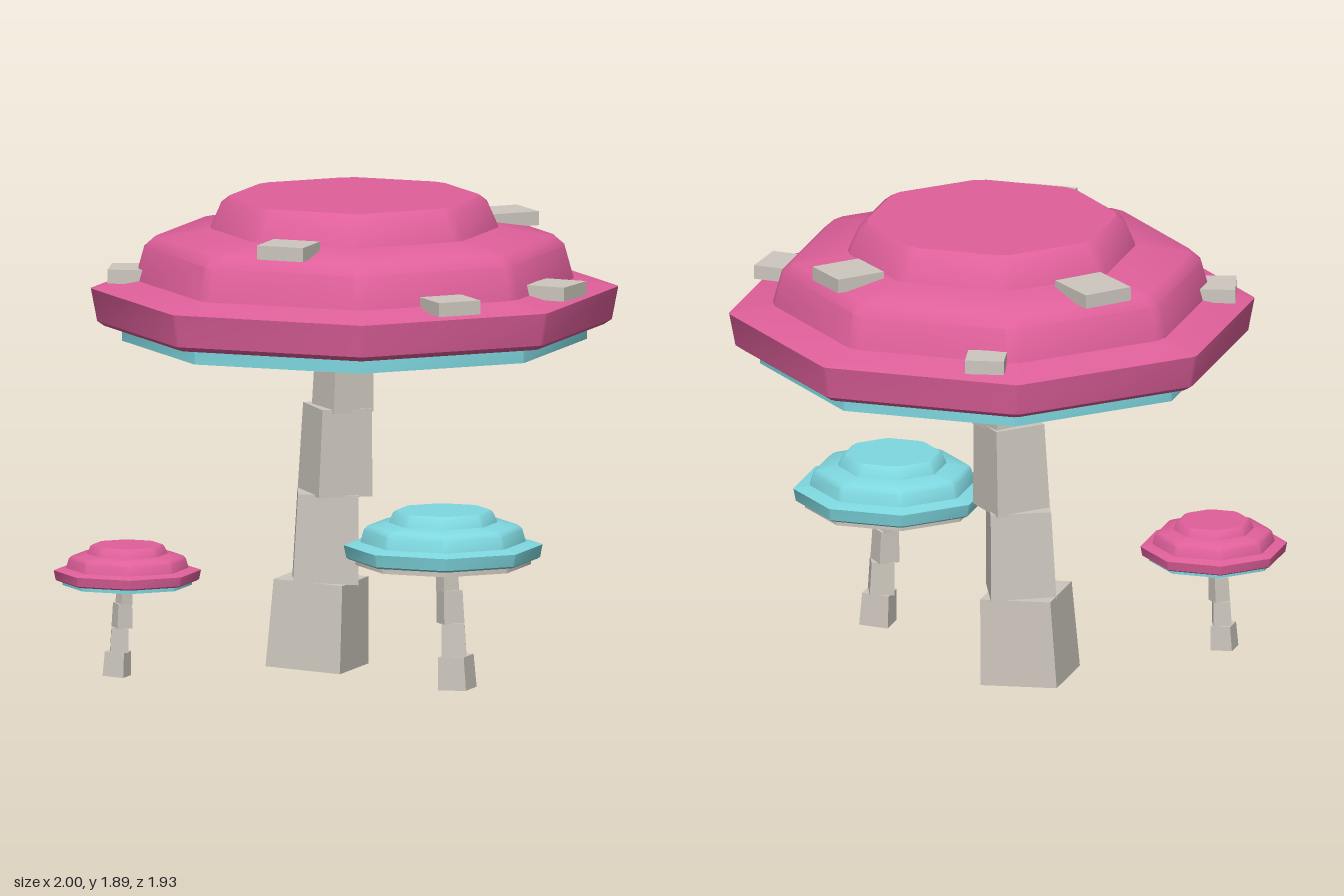
import * as THREE from 'three';
import { toCreasedNormals } from 'three/addons/utils/BufferGeometryUtils.js';

const flat = (name, color) => {
  const m = new THREE.MeshStandardMaterial({ color });
  m.name = name;
  return m;
};

// Stacked octagon rings, flat sides facing the axes. Row: [apothem, y, corner chamfer]
function octagonLoft(rows) {
  const rings = rows.map(([a, y, c]) => {
    const ring = [];
    for (let k = 0; k < 8; k++) {
      const f0 = k * Math.PI / 4, f1 = f0 + Math.PI / 4, mid = f0 + Math.PI / 8;
      const r = a / Math.cos(Math.PI / 8);
      const x = r * Math.cos(mid), z = r * Math.sin(mid);
      ring.push([x + c * Math.sin(f0), y, -(z - c * Math.cos(f0))]);
      ring.push([x - c * Math.sin(f1), y, -(z + c * Math.cos(f1))]);
    }
    return ring;
  });
  const pos = [];
  for (let i = 0; i < rings.length - 1; i++) {
    for (let j = 0; j < 16; j++) {
      const n = (j + 1) % 16;
      const a = rings[i][j], b = rings[i][n], c = rings[i + 1][n], d = rings[i + 1][j];
      if (rows[i][0] > 0) pos.push(...a, ...b, ...c);
      if (rows[i + 1][0] > 0) pos.push(...a, ...c, ...d);
      else if (rows[i][0] > 0) continue;
    }
  }
  const g = new THREE.BufferGeometry();
  g.setAttribute('position', new THREE.Float32BufferAttribute(pos, 3));
  return toCreasedNormals(g, 0.65);
}

// Box that narrows toward its top
function taperedBlock(w, h, d, taper) {
  const g = new THREE.BoxGeometry(w, h, d);
  const p = g.attributes.position;
  for (let i = 0; i < p.count; i++) {
    if (p.getY(i) > 0) p.setXYZ(i, p.getX(i) * taper, p.getY(i), p.getZ(i) * taper);
  }
  const out = g.toNonIndexed();
  out.computeVertexNormals();
  return out;
}

const CAP = [
  [0, 1.375, 0], [0.915, 1.375, 0.01], [0.943, 1.395, 0.01], [0.966, 1.525, 0.01],
  [0.81, 1.56, 0.03], [0.777, 1.69, 0.03], [0.735, 1.73, 0.03],
  [0.535, 1.765, 0.03], [0.495, 1.865, 0.03], [0.465, 1.89, 0.03], [0, 1.89, 0],
];
const GILLS = [[0, 1.315, 0], [0.85, 1.315, 0.003], [0.85, 1.38, 0.003], [0, 1.38, 0]];

// x, y, z, width, height, yaw, roll
const STEM = [
  [-0.15, 0.183, 0, 0.315, 0.35, 0, -0.05],
  [-0.115, 0.53, 0.005, 0.26, 0.355, 0.37, -0.03],
  [-0.075, 0.875, 0.005, 0.228, 0.35, 0.74, -0.03],
  [-0.043, 1.2, 0.005, 0.18, 0.33, 0.87, -0.03],
];

// x, y, z, width, depth, yaw
const SPOTS = [
  [-0.225, 1.575, -0.87, 0.155, 0.14, 0.2],
  [-0.525, 1.76, -0.405, 0.23, 0.21, -0.72],
  [0.455, 1.76, -0.505, 0.2, 0.21, -0.75],
  [-0.007, 1.763, 0.67, 0.195, 0.19, 0],
  [-0.82, 1.577, 0.3, 0.155, 0.185, 0.27],
  [0.9, 1.573, 0.09, 0.175, 0.2, -0.09],
  [0.655, 1.57, 0.615, 0.18, 0.18, -0.77],
];

function mushroom(name, capMat, gillMat, stemMat) {
  const g = new THREE.Group();
  g.name = name;
  const add = (part, geo, mat) => {
    const m = new THREE.Mesh(geo, mat);
    m.name = part;
    g.add(m);
    return m;
  };
  add('cap', octagonLoft(CAP), capMat);
  add('gillPlate', octagonLoft(GILLS), gillMat);
  STEM.forEach(([x, y, z, w, h, yaw, roll], i) => {
    const m = add('stemBlock' + (i + 1), taperedBlock(w, h, w, 0.92), stemMat);
    m.position.set(x, y, z);
    m.rotation.set(0, yaw, roll, 'ZYX');
  });
  return g;
}

export function createModel() {
  const pink = flat('pink', 0xe0609b);
  const cyan = flat('cyan', 0x7fd8e0);
  const stone = flat('stone', 0xcdc7be);
  const model = new THREE.Group();
  model.name = 'mushroomCluster';

  const big = mushroom('largeMushroom', pink, cyan, stone);
  big.position.set(0.015, 0, -0.004);

  const small = mushroom('smallMushroom', pink, cyan, stone);
  small.scale.setScalar(0.279);
  small.position.set(-0.731, 0.008, 0.557);

  // Leans the opposite way
  const medium = mushroom('mediumMushroom', cyan, stone, stone);
  medium.scale.setScalar(0.377);
  medium.rotation.y = Math.PI;
  medium.position.set(0.564, 0.014, 0.453);

  // Square warts on the ledges of the large cap
  const spots = new THREE.Group();
  spots.name = 'capSpots';
  for (const [x, y, z, w, d, yaw] of SPOTS) {
    const m = new THREE.Mesh(new THREE.BoxGeometry(w, 0.056, d), stone);
    m.name = 'capSpot';
    m.position.set(x, y, z);
    m.rotation.y = yaw;
    spots.add(m);
  }

  model.add(big, small, medium, spots);
  return model;
}
